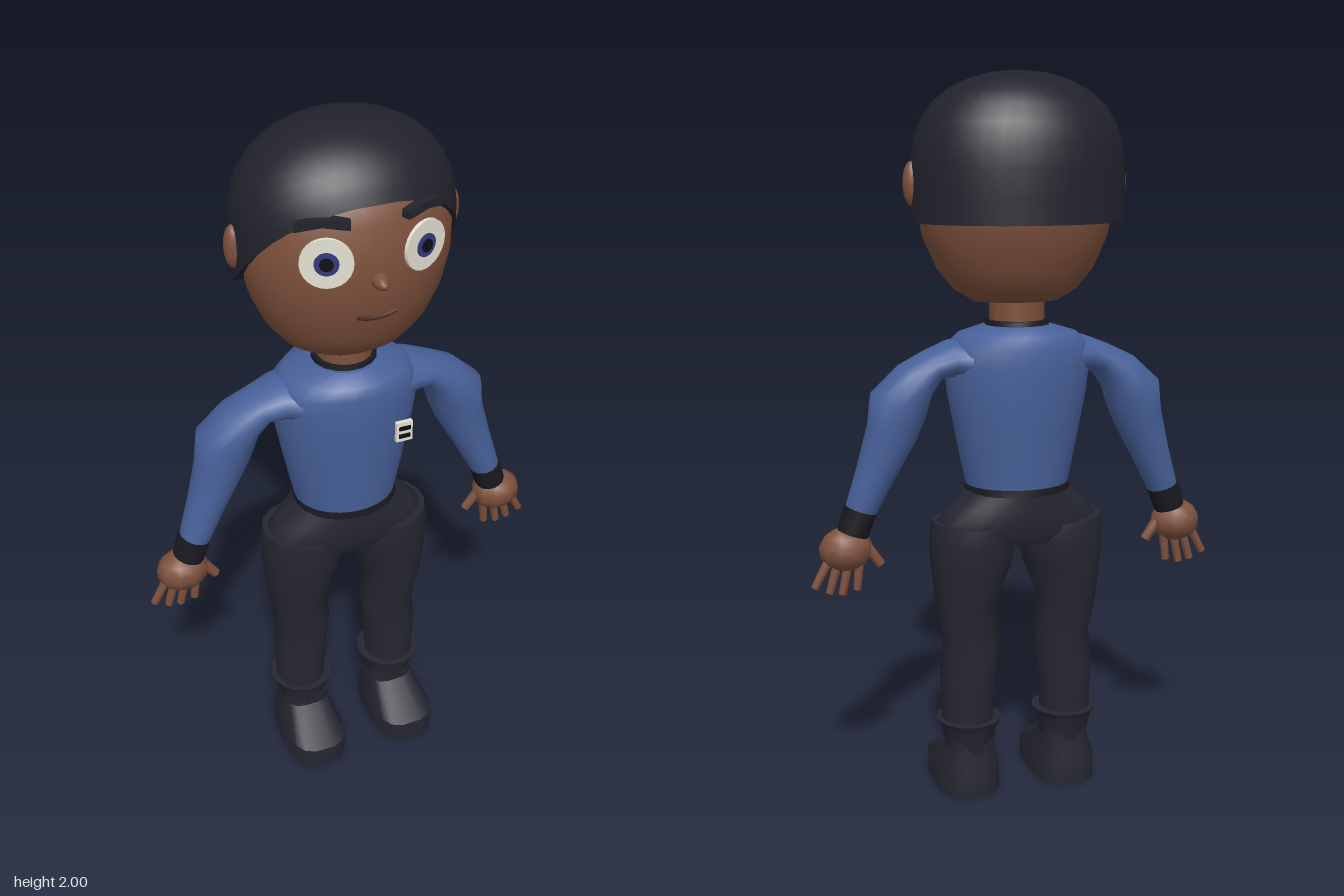
import * as THREE from 'three';
import { toCreasedNormals } from 'three/addons/utils/BufferGeometryUtils.js';

const mat = (name, color, side = THREE.FrontSide) => {
  const m = new THREE.MeshStandardMaterial({ color, side });
  m.name = name;
  return m;
};

// Loft of elliptical rings along a path in the xy plane.
// Each section is [x, y, z, radius in plane, radius in z]; s mirrors x.
function loft(sections, { s = 1, sides = 16, power = 1 } = {}) {
  const pos = [], idx = [], n = sections.length;
  const soft = (v) => Math.sign(v) * Math.abs(v) ** power;
  const rings = sections.map(([x, y, z, ru, rv], i) => {
    const p = sections[Math.max(0, i - 1)], q = sections[Math.min(n - 1, i + 1)];
    const d = new THREE.Vector2(s * (q[0] - p[0]), q[1] - p[1]).normalize();
    return Array.from({ length: sides }, (_, k) => {
      const a = ((k + 0.5) / sides) * Math.PI * 2;
      const u = ru * soft(Math.cos(a)), v = rv * soft(Math.sin(a));
      return [s * x - d.y * u, y + d.x * u, z + v];
    });
  });
  rings.forEach((r) => r.forEach((p) => pos.push(...p)));
  for (let i = 0; i < n - 1; i++) for (let k = 0; k < sides; k++) {
    const a = i * sides + k, b = i * sides + ((k + 1) % sides);
    idx.push(a, b, b + sides, a, b + sides, a + sides);
  }
  // end caps with their own corners, so the rims stay sharp
  for (const end of [0, n - 1]) {
    const c = pos.length / 3, [x, y, z] = sections[end];
    pos.push(s * x, y, z);
    rings[end].forEach((p) => pos.push(...p));
    for (let k = 0; k < sides; k++) {
      const a = c + 1 + k, b = c + 1 + ((k + 1) % sides);
      if (end === 0) idx.push(c, b, a); else idx.push(c, a, b);
    }
  }
  return finish(pos, idx);
}

function finish(pos, idx) {
  const g = new THREE.BufferGeometry();
  g.setAttribute('position', new THREE.Float32BufferAttribute(pos, 3));
  g.setIndex(idx);
  g.computeVertexNormals();
  return g;
}

// Head profile: [radius, height]; depth is squeezed
const HEAD = [[0, 1.4], [0.12, 1.4], [0.17, 1.43], [0.215, 1.485], [0.253, 1.57], [0.27, 1.65],
  [0.27, 1.73], [0.25, 1.81], [0.222, 1.86], [0.16, 1.92], [0, 1.97]];
const DEPTH = 0.8;
function headZ(x, y) {
  const i = HEAD.findIndex((p) => p[1] > y);
  const [r0, y0] = HEAD[i - 1], [r1, y1] = HEAD[i];
  const r = r0 + ((r1 - r0) * (y - y0)) / (y1 - y0);
  return DEPTH * Math.sqrt(r * r - x * x);
}

// Hair cap: domed shell cut by a slope at the face and level at the back
function hairGeometry() {
  const N = 32, M = 9, pos = [0, 2, -0.022], idx = [];
  const R = (y) => (y > 1.7 ? Math.sqrt(Math.max(0, 1 - ((y - 1.7) / 0.3) ** 3)) : 1);
  const hemAt = (a) => {
    let y = 1.75;
    for (let k = 0; k < 6; k++) {
      const z = -0.022 + 0.237 * Math.cos(a) * R(y);
      y = THREE.MathUtils.clamp(1.61 + 1.2 * (z + 0.015), 1.61, 1.86);
    }
    return y;
  };
  for (let j = 1; j <= M + 1; j++) for (let k = 0; k < N; k++) {
    const a = (k / N) * Math.PI * 2, t = Math.min(j, M) / M;
    const y = 2 - (2 - hemAt(a)) * t ** 1.8;
    const r = R(y) * (j > M ? 0.85 : 1); // last ring turns in under the hem
    pos.push(0.29 * r * Math.sin(a), y, -0.022 + 0.237 * r * Math.cos(a));
  }
  for (let k = 0; k < N; k++) {
    const l = (k + 1) % N;
    idx.push(0, 1 + k, 1 + l);
    for (let j = 0; j < M; j++) {
      const a = 1 + j * N + k, b = 1 + j * N + l;
      idx.push(a, a + N, b + N, a, b + N, b);
    }
  }
  return toCreasedNormals(finish(pos, idx), 1.0);
}

export function createModel() {
  const model = new THREE.Group();
  const skin = mat('skin', 0x7d503c), shirt = mat('blue cloth', 0x48619a), cloth = mat('dark cloth', 0x262632);
  const hair = mat('hair', 0x22222d, THREE.DoubleSide), trim = mat('dark trim', 0x191920);
  const white = mat('off white', 0xe4e0d2), iris = mat('iris blue', 0x34397a), black = mat('black', 0x0e0e14);
  const lip = mat('lip', 0x4a2a20);

  const add = (name, geo, material, parent = model) => {
    const m = new THREE.Mesh(geo, material);
    m.name = name;
    parent.add(m);
    return m;
  };
  const ball = (name, material, [x, y, z], [rx, ry, rz], seg = 14) => {
    const m = add(name, new THREE.SphereGeometry(1, seg, Math.ceil(seg * 0.7)), material);
    m.position.set(x, y, z);
    m.scale.set(rx, ry, rz);
    return m;
  };

  // Head
  const headGeo = new THREE.LatheGeometry(HEAD.map((p) => new THREE.Vector2(...p)), 32);
  add('head', headGeo.scale(1, 1, DEPTH), skin);
  add('hair', hairGeometry(), hair);
  ball('nose', skin, [0, 1.675, 0.213], [0.02, 0.02, 0.043]);
  const smile = new THREE.CatmullRomCurve3([-0.052, -0.03, 0, 0.03, 0.052].map((x) => {
    const y = 1.566 + 3.5 * x * x;
    return new THREE.Vector3(x, y, headZ(x, y) + 0.002);
  }));
  add('mouth', new THREE.TubeGeometry(smile, 12, 0.005, 6), lip);

  // Neck, collar, torso and waist
  add('neck', new THREE.CylinderGeometry(0.075, 0.075, 0.12, 16), skin).position.set(0, 1.37, -0.01);
  add('collar', loft([[0, 1.32, -0.012, 0.092, 0.088], [0, 1.348, -0.012, 0.086, 0.083]]), trim);
  add('torso', loft([
    [0, 0.89, -0.01, 0.143, 0.123], [0, 0.97, -0.01, 0.16, 0.13], [0, 1.06, -0.012, 0.178, 0.138],
    [0, 1.15, -0.012, 0.195, 0.147], [0, 1.23, -0.012, 0.205, 0.15], [0, 1.28, -0.012, 0.2, 0.149],
    [0, 1.312, -0.012, 0.165, 0.14], [0, 1.335, -0.012, 0.09, 0.095],
  ], { sides: 24 }), shirt);
  add('waistband', loft([[0, 0.878, -0.01, 0.149, 0.13], [0, 0.897, -0.01, 0.147, 0.128]], { sides: 24 }), trim);
  add('hips', loft([
    [0, 0.735, -0.01, 0.215, 0.1], [0, 0.775, -0.01, 0.248, 0.12],
    [0, 0.83, -0.01, 0.198, 0.124], [0, 0.89, -0.01, 0.142, 0.122],
  ], { sides: 24 }), cloth);

  // Chest badge with two bars
  const badge = new THREE.Group();
  badge.name = 'badge';
  badge.position.set(0.107, 1.163, 0.148);
  model.add(badge);
  add('badgePlate', new THREE.BoxGeometry(0.046, 0.06, 0.012), white, badge);
  for (const y of [-0.012, 0.012])
    add('badgeBar', new THREE.BoxGeometry(0.032, 0.012, 0.006), black, badge).position.set(0, y, 0.006);

  const browShape = new THREE.Shape([[-0.066, -0.012], [0, -0.002], [0.066, -0.012], [0.066, 0.008],
    [0.03, 0.016], [-0.03, 0.016], [-0.066, 0.008]].map((p) => new THREE.Vector2(...p)));

  for (const s of [1, -1]) {
    const side = s > 0 ? 'left' : 'right';

    // Eye: stacked discs laid against the face
    const eye = new THREE.Group();
    eye.name = side + 'Eye';
    eye.position.set(s * 0.125, 1.735, headZ(0.125, 1.735) + 0.004);
    eye.rotation.y = s * 0.38;
    model.add(eye);
    [['eyeWhite', 0.065, white], ['iris', 0.03, iris], ['pupil', 0.017, black]].forEach(([name, r, m], i) => {
      const disc = new THREE.CylinderGeometry(r, r, 0.009, 24).rotateX(Math.PI / 2);
      add(name, disc, m, eye).position.z = 0.003 * i;
    });

    const brow = add(side + 'Brow', new THREE.ExtrudeGeometry(browShape, { depth: 0.025, bevelEnabled: false }), hair);
    brow.position.set(s * 0.125, 1.828, 0.168);
    brow.rotation.set(0, s * 0.4, -s * 0.05);
    ball(side + 'Ear', skin, [s * 0.288, 1.71, -0.01], [0.023, 0.058, 0.026]);

    // Arm, cuff and hand
    add(side + 'Sleeve', loft([
      [0.12, 1.245, -0.012, 0.065, 0.11], [0.19, 1.248, -0.012, 0.05, 0.088], [0.24, 1.233, -0.015, 0.044, 0.075],
      [0.29, 1.195, -0.022, 0.06, 0.08], [0.337, 1.132, -0.025, 0.081, 0.084], [0.355, 1.06, -0.025, 0.07, 0.068],
      [0.4, 0.95, -0.018, 0.054, 0.055], [0.445, 0.84, -0.01, 0.042, 0.047],
    ], { s }), shirt);
    add(side + 'Cuff', loft([[0.443, 0.85, -0.01, 0.046, 0.051], [0.465, 0.785, -0.01, 0.043, 0.048]], { s }), trim);
    ball(side + 'Palm', skin, [s * 0.485, 0.742, -0.008], [0.074, 0.06, 0.06], 10);
    [[0.53, 0.72, 0.573, 0.64], [0.507, 0.71, 0.533, 0.622], [0.48, 0.7, 0.498, 0.616],
      [0.448, 0.71, 0.457, 0.626], [0.435, 0.755, 0.39, 0.692]].forEach(([x0, y0, x1, y1], i) => {
      const thick = i === 4 ? 0.016 : 0.013;
      const finger = [[x0, y0, -0.01, thick, thick], [x1, y1, -0.012, thick * 0.85, thick * 0.85]];
      add(side + (i === 4 ? 'Thumb' : 'Finger'), loft(finger, { s, sides: 8 }), skin);
    });

    // Trouser leg
    add(side + 'Leg', loft([
      [0.125, 0.79, -0.01, 0.118, 0.115], [0.128, 0.74, -0.01, 0.122, 0.12], [0.136, 0.67, -0.01, 0.113, 0.11],
      [0.149, 0.56, -0.008, 0.084, 0.097], [0.134, 0.45, -0.008, 0.08, 0.08],
      [0.144, 0.35, -0.008, 0.08, 0.081], [0.147, 0.19, -0.008, 0.071, 0.076],
    ], { s }), cloth);

    // Boot: squared foot, narrow ankle, flared top
    add(side + 'Foot', toCreasedNormals(loft([
      [0.144, 0, 0.055, 0.089, 0.145], [0.144, 0.065, 0.055, 0.089, 0.145],
      [0.141, 0.13, -0.005, 0.066, 0.072], [0.141, 0.16, -0.005, 0.066, 0.073],
    ], { s, power: 0.65 }), 0.7), cloth);
    add(side + 'BootTop', loft([
      [0.141, 0.12, -0.006, 0.064, 0.071], [0.143, 0.19, -0.008, 0.078, 0.083], [0.143, 0.217, -0.01, 0.093, 0.096],
    ], { s }), cloth);
  }
  return model;
}
